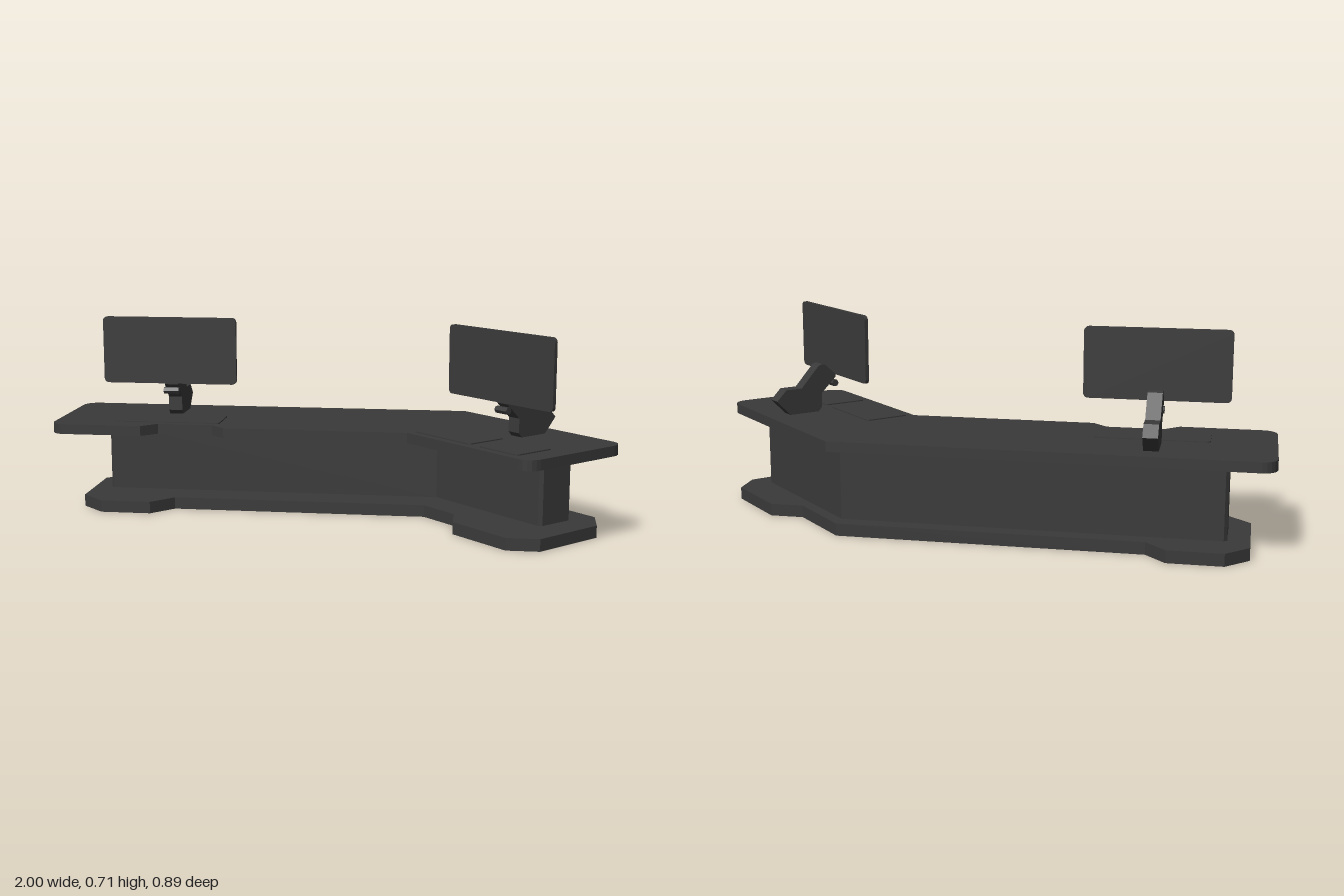
import * as THREE from 'three';

const material = new THREE.MeshStandardMaterial({ color: 0x3a3a3a });

// Closed shape from corners [x, y, radius]; corners with a radius are rounded
function roundedShape(corners) {
  const shape = new THREE.Shape();
  const n = corners.length;
  corners.forEach(([x, y, r = 0], i) => {
    const p = new THREE.Vector2(x, y);
    const towards = (j) => {
      const q = new THREE.Vector2(corners[j][0], corners[j][1]);
      return q.sub(p).setLength(r).add(p);
    };
    const a = r ? towards((i + n - 1) % n) : p;
    if (i === 0) shape.moveTo(a.x, a.y);
    else shape.lineTo(a.x, a.y);
    if (r) {
      const b = towards((i + 1) % n);
      const k = 0.5523; // circular arc for square corners
      const c1 = a.clone().lerp(p, k), c2 = b.clone().lerp(p, k);
      shape.bezierCurveTo(c1.x, c1.y, c2.x, c2.y, b.x, b.y);
    }
  });
  shape.closePath();
  return shape;
}

function extrude(corners, depth) {
  return new THREE.ExtrudeGeometry(roundedShape(corners), { depth, bevelEnabled: false, curveSegments: 5 });
}

function addMesh(parent, name, geometry) {
  const mesh = new THREE.Mesh(geometry, material);
  mesh.name = name;
  parent.add(mesh);
  return mesh;
}

// Horizontal slab from a plan outline [x, z, radius]
function slab(parent, name, plan, y0, y1) {
  const geometry = extrude(plan.map(([x, z, r]) => [x, -z, r]), y1 - y0);
  geometry.rotateX(-Math.PI / 2).translate(0, y0, 0);
  return addMesh(parent, name, geometry);
}

const rectangle = (x0, x1, y0, y1, r) => [[x0, y0, r], [x1, y0, r], [x1, y1, r], [x0, y1, r]];

// Monitor, its jointed arm and the desk pads; local origin is below the screen
function workstation(name, x, z, angle, pads) {
  const group = new THREE.Group();
  group.name = name;
  group.position.set(x, 0, z);
  group.rotation.y = angle;

  const screen = extrude(rectangle(-0.247, 0.247, 0.464, 0.707, 0.016), 0.013);
  addMesh(group, 'monitor', screen.translate(0, 0, -0.0065));

  // Side profile [distance behind the screen, height]
  const profile = [
    [0.012, 0.468], [0.052, 0.505], [0.064, 0.509], [0.080, 0.505], [0.150, 0.428], [0.211, 0.428],
    [0.248, 0.390], [0.197, 0.335], [0.085, 0.335], [0.070, 0.352], [0.070, 0.403], [0.012, 0.458],
  ];
  const arm = extrude(profile, 0.05).translate(0, 0, -0.025).rotateY(Math.PI / 2);
  addMesh(group, 'monitorArm', arm);

  const knob = new THREE.CylinderGeometry(0.013, 0.013, 0.056, 6).toNonIndexed();
  knob.computeVertexNormals();
  addMesh(group, 'armKnob', knob.rotateZ(Math.PI / 2).translate(0, 0.435, -0.015));

  pads.forEach(([x0, x1, z0, z1]) =>
    slab(group, 'deskPad', rectangle(x0, x1, z0, z1, 0.01), 0.334, 0.34));
  return group;
}

export function createModel() {
  const model = new THREE.Group();
  model.name = 'controlDesk';

  // Angled worktop with a shallow seat notch at the front
  slab(model, 'worktop', [
    [-1, -0.403, 0.05], [0.474, -0.403], [1.02, 0.145, 0.05], [0.702, 0.465, 0.05],
    [0.287, 0.05], [-0.365, 0.05], [-0.417, 0], [-0.615, 0], [-0.667, 0.05], [-1, 0.05, 0.05],
  ], 0.3, 0.336);

  // Bent pedestal with chamfered ends between floor plate and worktop
  slab(model, 'pedestal', [
    [-0.85, -0.324], [-0.839, -0.335], [0.446, -0.335], [0.848, 0.067], [0.848, 0.083],
    [0.757, 0.17], [0.741, 0.17], [0.381, -0.19], [-0.839, -0.19], [-0.85, -0.201],
  ], 0.05, 0.3);

  // Floor plate widening into a chamfered foot at each end
  slab(model, 'floorPlate', [
    [-0.924, -0.366], [-0.846, -0.442], [-0.66, -0.442], [-0.59, -0.37], [0.455, -0.37],
    [0.638, -0.185], [0.756, -0.185], [0.942, 0], [0.942, 0.114], [0.747, 0.311], [0.634, 0.311],
    [0.453, 0.132], [0.453, 0.022], [0.341, -0.09], [-0.58, -0.09], [-0.655, -0.01], [-0.838, -0.01], [-0.924, -0.09],
  ], 0, 0.043);

  model.add(workstation('rightWorkstation', -0.597, -0.129, 0, [[-0.184, 0.202, -0.046, 0.105]]));
  model.add(workstation('leftWorkstation', 0.604, 0.122, -Math.PI / 4,
    [[-0.27, 0.008, -0.015, 0.145], [0.052, 0.228, -0.015, 0.145]]));
  return model;
}
